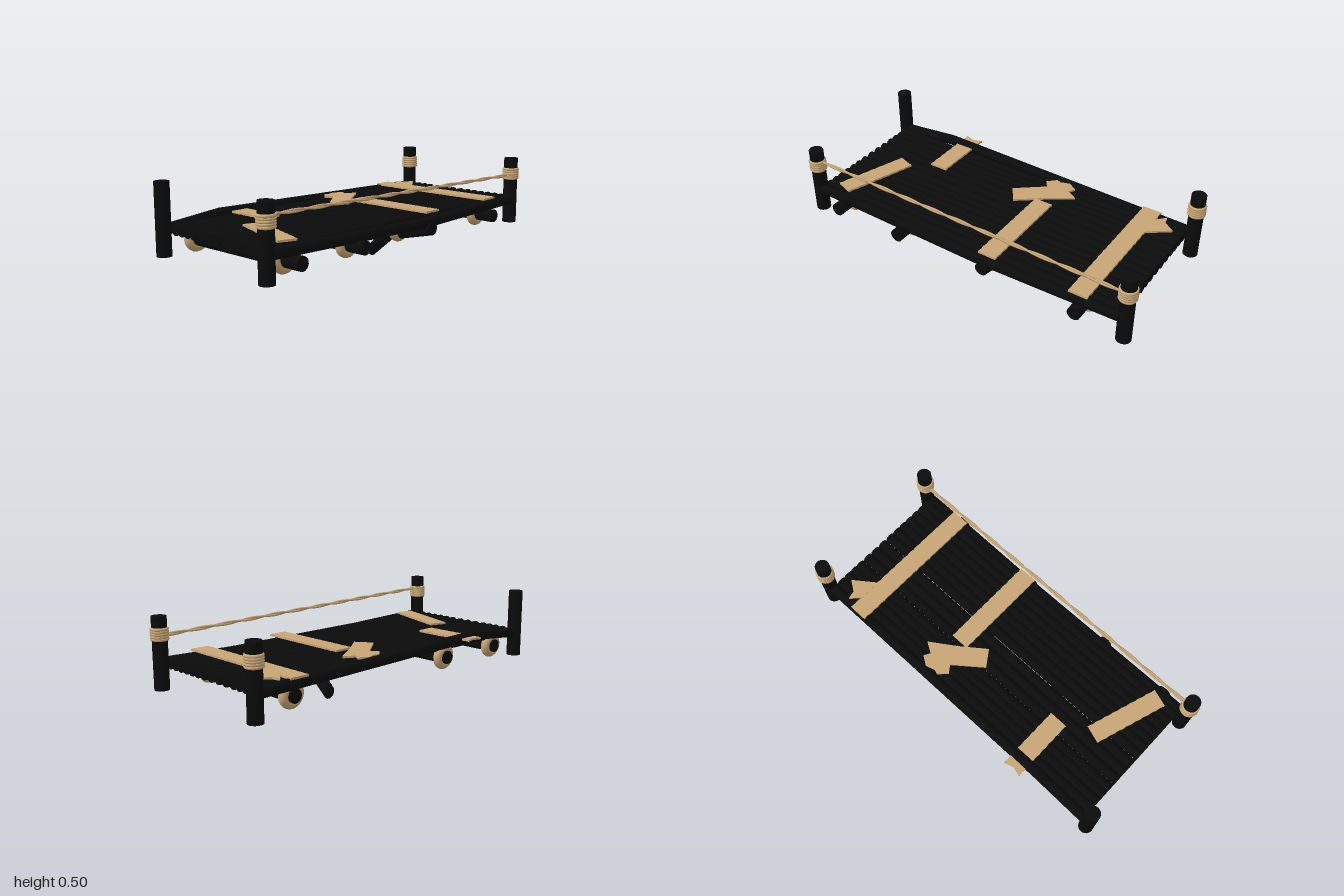
import * as THREE from 'three';

const wood = new THREE.MeshStandardMaterial({ color: 0x0b0b0b });
wood.name = 'dark wood';
const fibre = new THREE.MeshStandardMaterial({ color: 0xc8a676 });
fibre.name = 'tan fibre';

function add(parent, name, geometry, material, x = 0, y = 0, z = 0) {
  const mesh = new THREE.Mesh(geometry, material);
  mesh.name = name;
  mesh.position.set(x, y, z);
  parent.add(mesh);
  return mesh;
}

// Deck log along x, raised by `lift` at x = `peak` and straight towards both ends
function deckLogGeometry(lift, peak) {
  const half = 0.92;
  const geo = new THREE.CylinderGeometry(0.029, 0.029, 2 * half, 16, 2).rotateZ(-Math.PI / 2);
  const p = geo.attributes.position;
  for (let i = 0; i < p.count; i++) {
    if (Math.abs(p.getX(i)) < 0.01) {
      p.setX(i, peak);
      p.setY(i, p.getY(i) + lift);
    }
  }
  geo.computeVertexNormals();
  return geo;
}

// Snapped beam: three cross-sections [z, y, lean], from the front to the broken end
function snappedBeamGeometry() {
  const rows = [[0.43, 0.212, 0], [0.131, 0.146, 0.5], [0.009, 0.036, 0.12]];
  const geo = new THREE.CylinderGeometry(0.036, 0.036, 2, 18, 2).rotateX(Math.PI / 2);
  const p = geo.attributes.position;
  for (let i = 0; i < p.count; i++) {
    const [z, y, lean] = rows[Math.round(1 - p.getZ(i))];
    const dy = p.getY(i);
    p.setXYZ(i, p.getX(i), y + dy, z - dy * lean);
  }
  geo.computeVertexNormals();
  return geo;
}

// Flat strip from an outline of [x, z] corners
function stripGeometry(corners) {
  const shape = new THREE.Shape(corners.map(([x, z]) => new THREE.Vector2(x, -z)));
  return new THREE.ExtrudeGeometry(shape, { depth: 0.011, bevelEnabled: false }).rotateX(-Math.PI / 2);
}

// Straight strip with finely frayed long edges
function frayedStrip(x0, z0, x1, z1, width, notch = 0) {
  const dx = x1 - x0, dz = z1 - z0, len = Math.hypot(dx, dz);
  const n = Math.round(len / 0.025);
  const side = (s) => Array.from({ length: n + 1 }, (_, i) => {
    const t = i / n, w = s * (width / 2 - (i % 2) * 0.003);
    return [x0 + dx * t - (dz / len) * w, z0 + dz * t + (dx / len) * w];
  });
  const corners = [...side(1), ...side(-1).reverse()];
  if (notch) corners.push([x0 + (dx / len) * notch, z0 + (dz / len) * notch]);
  return stripGeometry(corners);
}

// One strand of the twisted rope
function strandGeometry(from, to, phase) {
  const points = [];
  for (let i = 0; i <= 80; i++) {
    const a = phase + i * 0.45;
    points.push(from.clone().lerp(to, i / 80)
      .add(new THREE.Vector3(0, Math.cos(a) * 0.005, Math.sin(a) * 0.005)));
  }
  return new THREE.TubeGeometry(new THREE.CatmullRomCurve3(points), 160, 0.006, 6);
}

export function createModel() {
  const model = new THREE.Group();
  model.name = 'raft';

  // Corner posts, three of them wrapped with cord
  for (const x of [-0.948, 0.948]) {
    for (const z of [0.388, -0.373]) {
      const post = new THREE.Group();
      post.name = 'cornerPost';
      post.position.set(x, 0, z);
      model.add(post);
      add(post, 'post', new THREE.CylinderGeometry(0.039, 0.039, 0.376, 24), wood, 0, 0.317, 0);
      if (x < 0 && z < 0) continue;
      for (let i = 0; i < 5; i++) {
        add(post, 'postWrap', new THREE.TorusGeometry(0.039, 0.0085, 8, 28).rotateX(Math.PI / 2),
          fibre, 0, 0.389 + i * 0.0127, 0);
      }
    }
  }

  // Deck logs side by side; the rear one bows up, the front one and a middle one sag
  const logZ = [0.393, 0.35, 0.304, 0.257, 0.208, 0.16, 0.112, 0.06,
    0, -0.058, -0.115, -0.174, -0.22, -0.267, -0.314, -0.371];
  logZ.forEach((z, i) => {
    let lift = 0, peak = 0;
    if (i === 0) { lift = -0.024; peak = 0.12; }
    if (i === 8) { lift = -0.006; peak = 0.1; }
    if (i === 15) { lift = 0.032; peak = -0.6; }
    add(model, 'deckLog', deckLogGeometry(lift, peak), wood, 0, 0.264, z);
  });

  // Cross beams with a thick lashing near each end
  const lashing = (x, y, z) => {
    const ring = add(model, 'lashing', new THREE.TorusGeometry(0.046, 0.0245, 12, 28), fibre, x, y, z);
    ring.rotation.x = -0.06;
  };
  for (const x of [-0.785, -0.37, 0.705]) {
    const beam = new THREE.CylinderGeometry(0.036, 0.036, 0.805, 18).rotateX(Math.PI / 2);
    add(model, 'crossBeam', beam, wood, x, 0.202, 0.0415);
    lashing(x, 0.203, 0.315);
    lashing(x, 0.203, -0.327);
  }

  // Snapped beam hanging below the deck
  add(model, 'snappedBeam', snappedBeamGeometry(), wood, 0.163, 0, 0);
  lashing(0.163, 0.178, 0.195);

  // Woven strips lying on the deck
  const strips = [
    frayedStrip(-0.49, -0.447, -0.49, -0.09, 0.105, 0.015),
    frayedStrip(-0.672, -0.028, -0.798, 0.36, 0.1),
    frayedStrip(0.185, -0.13, 0.185, 0.41, 0.105),
    frayedStrip(0.703, -0.39, 0.703, 0.41, 0.105),
    stripGeometry([[-0.02, -0.14], [0.13, -0.26], [0.1, -0.3], [0.145, -0.345], [0.17, -0.335],
      [0.22, -0.352], [0.27, -0.32], [0.25, -0.285], [0.31, -0.25], [0.17, -0.155], [0.04, -0.055]]),
    stripGeometry([[0.75, -0.31], [0.8, -0.365], [0.81, -0.32], [0.87, -0.28], [0.75, -0.19]]),
  ];
  strips.forEach((geo, i) => add(model, 'deckStrip', geo, fibre, 0, i < 4 ? 0.292 : 0.2935, 0));

  // Twisted rope between the front posts
  const from = new THREE.Vector3(-0.93, 0.436, 0.385), to = new THREE.Vector3(0.93, 0.405, 0.385);
  for (const phase of [0, Math.PI]) add(model, 'ropeStrand', strandGeometry(from, to, phase), fibre);

  return model;
}
